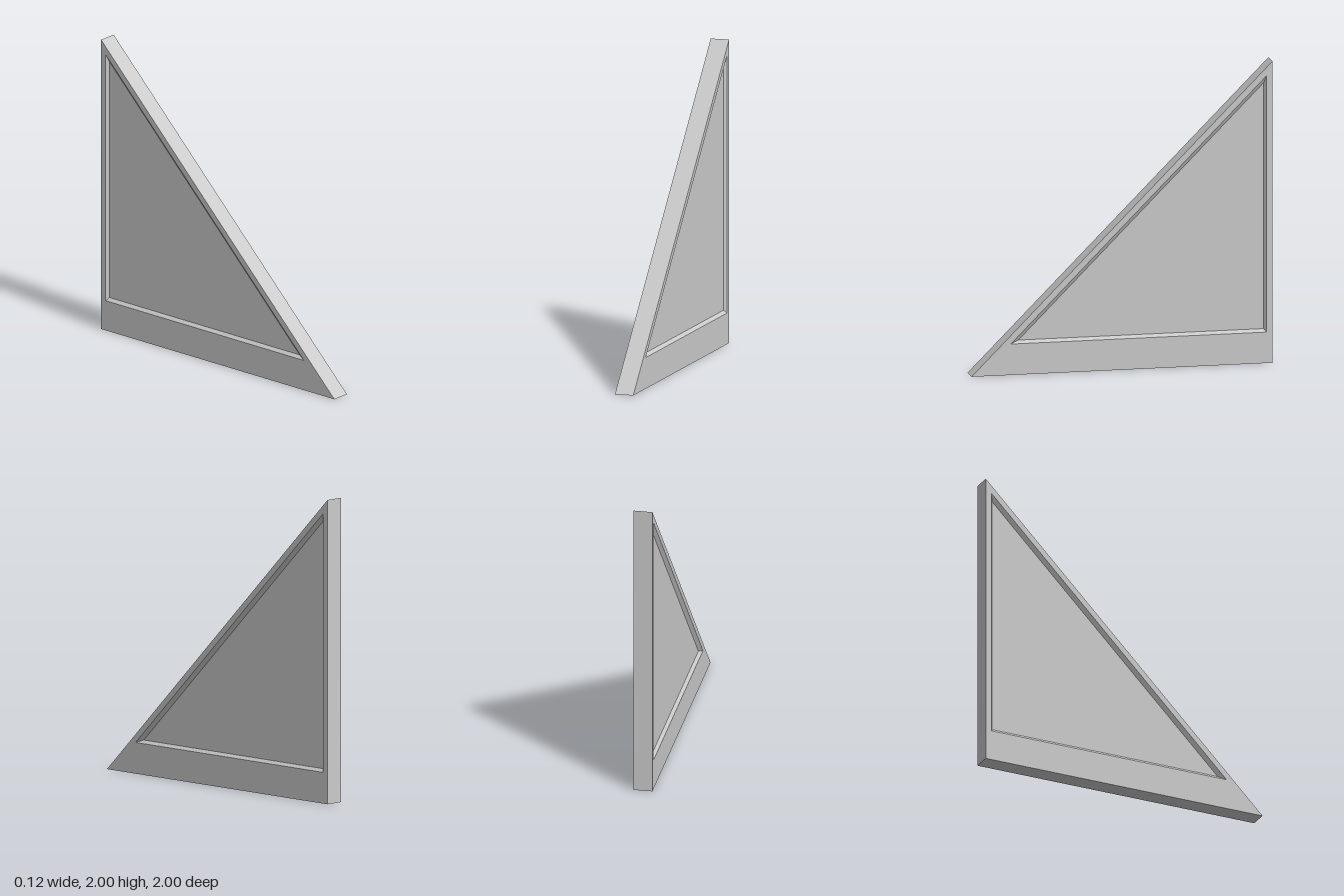
import * as THREE from 'three';

const HALF = 0.0625, DEPTH = 0.02;

// Right triangle as a ring at height x: bottom front, bottom back, top back.
const ring = (x, back, base, sum) => [
  [x, base, sum - base], [x, base, back], [x, sum - back, back],
];

// Joins successive triangular rings with quads; caps close the ends if asked.
function loft(rings, capStart, capEnd) {
  const pos = [];
  const tri = (...corners) => corners.forEach((c) => pos.push(...c));
  for (let r = 0; r + 1 < rings.length; r++) {
    for (let i = 0; i < 3; i++) {
      const j = (i + 1) % 3, a = rings[r], b = rings[r + 1];
      tri(a[i], a[j], b[j]);
      tri(a[i], b[j], b[i]);
    }
  }
  if (capStart) tri(rings[0][0], rings[0][2], rings[0][1]);
  if (capEnd) tri(...rings[rings.length - 1]);
  const geo = new THREE.BufferGeometry();
  geo.setAttribute('position', new THREE.Float32BufferAttribute(pos, 3));
  geo.computeVertexNormals();
  return geo;
}

export function createModel() {
  const group = new THREE.Group();
  group.name = 'triangularPanel';
  const material = new THREE.MeshStandardMaterial({ color: 0xcccccc, flatShading: true });
  const add = (name, geo) => {
    const mesh = new THREE.Mesh(geo, material);
    mesh.name = name;
    group.add(mesh);
    return mesh;
  };

  const outline = (x) => ring(x, -1, 0, 1);
  const lip = (x) => ring(x, -0.96, 0.205, 0.945);
  const floor = (x) => ring(x, -0.945, 0.225, 0.91);

  // Outer edge band
  add('edgeBand', loft([outline(-HALF), outline(HALF)]));

  // Each side: flat border, bevelled step, sunken triangular field
  const face = loft([outline(HALF), lip(HALF), floor(HALF - DEPTH)], false, true);
  add('leftFace', face);
  const rightFace = loft(
    [floor(DEPTH - HALF), lip(-HALF), outline(-HALF)], true, false);
  add('rightFace', rightFace);
  return group;
}
